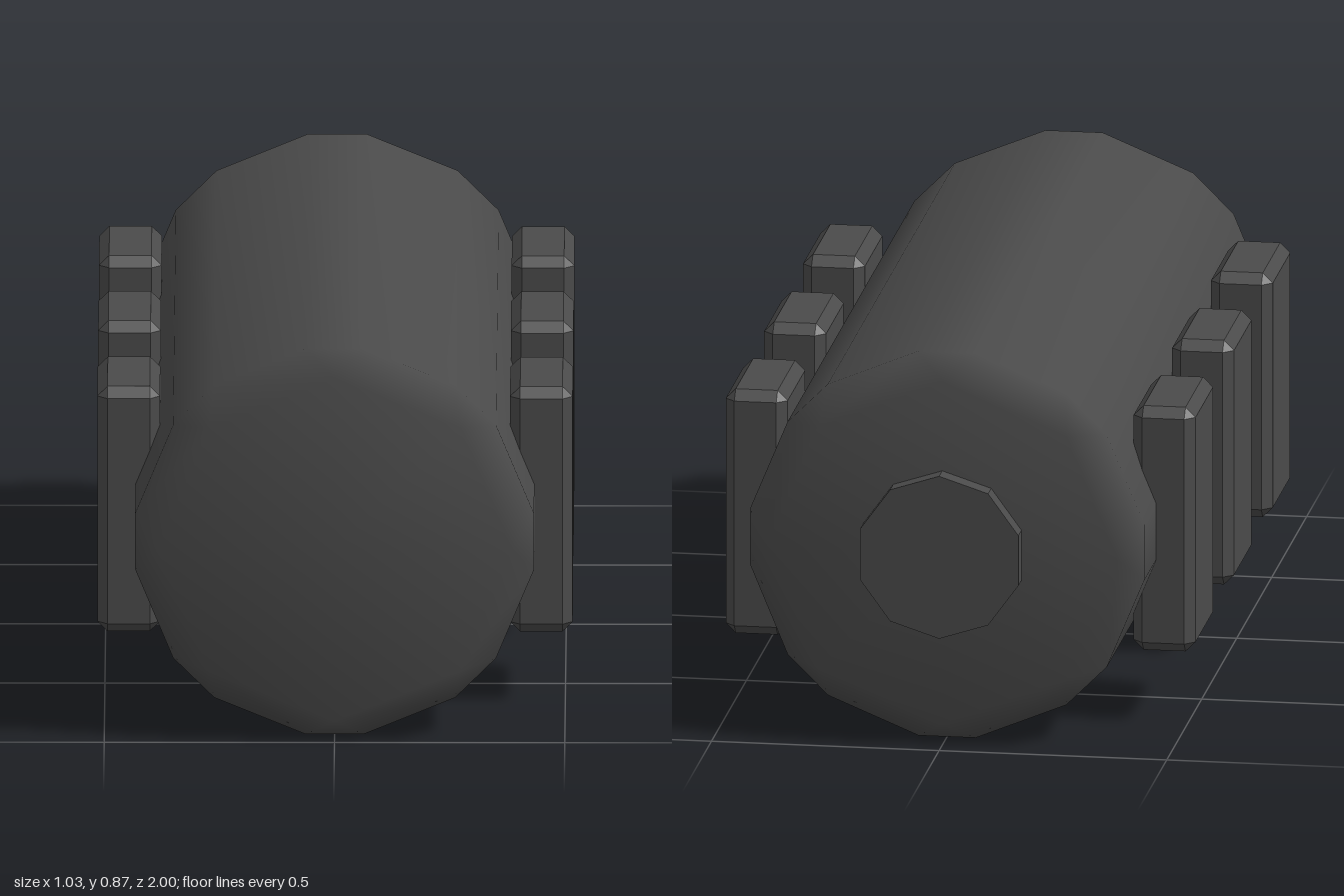
import * as THREE from 'three';
import { ConvexGeometry } from 'three/addons/geometries/ConvexGeometry.js';

const CENTER_Y = 0.433;

// Octagonal barrel with bevelled corners and rims, smooth shaded
function barrelGeometry() {
  const sides = 8, capR = 0.385, bodyR = 0.4375, half = 0.144;
  const pos = [], idx = [];
  const add = (r, a, z) => pos.push(r * Math.cos(a), r * Math.sin(a), z) / 3 - 1;
  const quad = (a, b, c, d) => idx.push(a, b, c, a, c, d);

  // One end: cap octagon plus a ring with two points per corner
  const makeEnd = (capZ, rimZ) => {
    const end = { mid: add(0, 0, capZ), cap: [], rim: [] };
    for (let k = 0; k < sides; k++) {
      const a = (k * 2 * Math.PI) / sides;
      end.cap.push(add(capR, a, capZ));
      end.rim.push(add(bodyR, a - half, rimZ), add(bodyR, a + half, rimZ));
    }
    return end;
  };
  const front = makeEnd(1, 0.93), back = makeEnd(-0.955, -0.885);

  // Caps, corner triangles and rim bevels
  for (const [{ mid, cap, rim }, flip] of [[front, false], [back, true]]) {
    const tri = (a, b, c) => (flip ? idx.push(a, c, b) : idx.push(a, b, c));
    for (let k = 0; k < sides; k++) {
      const n = (k + 1) % sides;
      tri(mid, cap[k], cap[n]);
      tri(cap[k], rim[2 * k], rim[2 * k + 1]);
      tri(cap[k], rim[2 * k + 1], rim[2 * n]);
      tri(cap[k], rim[2 * n], cap[n]);
    }
  }
  // Long side walls
  for (let i = 0; i < 2 * sides; i++) {
    const n = (i + 1) % (2 * sides);
    quad(front.rim[i], back.rim[i], back.rim[n], front.rim[n]);
  }
  const g = new THREE.BufferGeometry();
  g.setAttribute('position', new THREE.Float32BufferAttribute(pos, 3));
  g.setIndex(idx);
  g.computeVertexNormals();
  return g;
}

// Box with chamfered edges
function chamferBox(w, h, d, b) {
  const pts = [];
  for (const sx of [-0.5, 0.5]) for (const sy of [-0.5, 0.5]) for (const sz of [-0.5, 0.5]) {
    for (let face = 0; face < 3; face++) {
      const inset = (axis) => (axis === face ? 0 : 2 * b);
      pts.push(new THREE.Vector3(sx * (w - inset(0)), sy * (h - inset(1)), sz * (d - inset(2))));
    }
  }
  return new ConvexGeometry(pts);
}

export function createModel() {
  const model = new THREE.Group();
  model.name = 'ribbedBarrel';
  const darkGrey = new THREE.MeshStandardMaterial({ color: 0x4a4a4a });
  darkGrey.name = 'darkGrey';

  const put = (name, geometry, x, y, z) => {
    const mesh = new THREE.Mesh(geometry, darkGrey);
    mesh.name = name;
    mesh.position.set(x, y, z);
    model.add(mesh);
  };

  put('barrel', barrelGeometry(), 0, CENTER_Y, 0);

  // Ten-sided plug on the back end
  const plug = new THREE.CylinderGeometry(0.183, 0.183, 0.06, 10).rotateX(Math.PI / 2).toNonIndexed();
  plug.computeVertexNormals();
  put('backPlug', plug, 0, CENTER_Y + 0.002, -0.97);

  // Three side blocks on each flank
  const block = chamferBox(0.136, 0.55, 0.293, 0.022);
  for (const [side, sx] of [['left', 1], ['right', -1]]) {
    [0.537, -0.017, -0.567].forEach((z, i) => put(`${side}Block${i + 1}`, block, sx * 0.448, 0.435, z));
  }
  return model;
}
